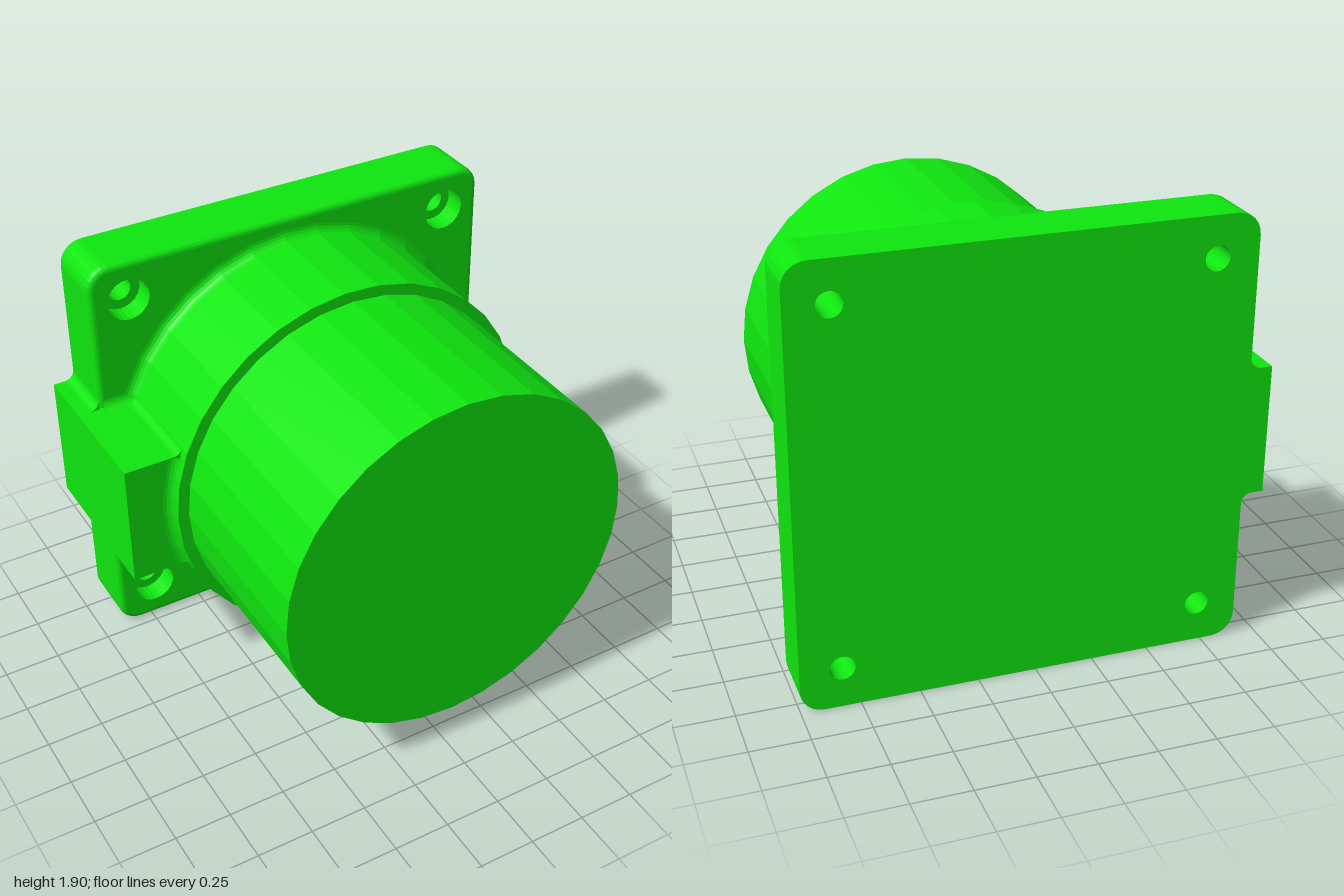
import * as THREE from 'three';

const H = 0.952;                    // flange half size
const BACK = -0.82, FACE = -0.545;  // flange back and front planes
const R = 0.847, STEP = -0.03;      // collar radius and front plane
const BARREL_R = 0.797, FRONT = 0.82;
const F = 0.045;                    // fillet radius
const LUG_X = 1.048, LUG_H = 0.283, LUG_Z = -0.075;
const HOLE = 0.774, HOLE_R = 0.053, BORE_R = 0.095, BORE_Z = FACE - 0.1;

const mat = new THREE.MeshStandardMaterial({ color: 0x0fe60f, flatShading: true, side: THREE.DoubleSide });

function add(parent, name, geometry) {
  const mesh = new THREE.Mesh(geometry, mat);
  mesh.name = name;
  parent.add(mesh);
  return mesh;
}

// Turned part whose axis runs along z; points are (radius, z)
function turned(points, segments, start = 0, length = Math.PI * 2) {
  return new THREE.LatheGeometry(points, segments, start, length).rotateX(Math.PI / 2);
}

// Concave quarter arc from a plane at z up onto the collar wall
function filletProfile(z) {
  return Array.from({ length: 6 }, (_, i) => {
    const t = (i / 5) * Math.PI / 2;
    return new THREE.Vector2(R + F - F * Math.sin(t), z + F - F * Math.cos(t));
  });
}

// Rounded square outline, shrunk by inset
function outline(inset) {
  const pts = [], r = 0.1 - inset, c = H - 0.1;
  for (let q = 0; q < 4; q++) {
    const mid = Math.PI / 4 + q * Math.PI / 2;
    const cx = c * Math.sign(Math.cos(mid)), cy = c * Math.sign(Math.sin(mid));
    for (let i = 0; i <= 6; i++) {
      const a = (q + i / 6) * Math.PI / 2;
      pts.push(new THREE.Vector2(cx + r * Math.cos(a), cy + r * Math.sin(a)));
    }
  }
  return pts;
}

const corners = [[-1, -1], [1, -1], [1, 1], [-1, 1]].map(([x, y]) => [x * HOLE, y * HOLE]);

function holedFace(inset, radius, z) {
  const shape = new THREE.Shape(outline(inset));
  for (const [x, y] of corners) {
    shape.holes.push(new THREE.Path().absarc(x, y, radius, 0, Math.PI * 2, true));
  }
  return new THREE.ShapeGeometry(shape, 12).translate(0, 0, z);
}

// Flange wall lofted through outlines, with a rounded front edge
function flangeWall() {
  const e = 0.028, sections = [[0, BACK]];
  for (let i = 0; i <= 4; i++) {
    const t = (i / 4) * Math.PI / 2;
    sections.push([e * (1 - Math.cos(t)), FACE - e + e * Math.sin(t)]);
  }
  const pos = [], index = [], n = outline(0).length;
  sections.forEach(([inset, z], s) => {
    outline(inset).forEach((p, i) => {
      pos.push(p.x, p.y, z);
      if (s === 0) return;
      const j = (i + 1) % n, a = (s - 1) * n, b = s * n;
      index.push(a + i, a + j, b + j, a + i, b + j, b + i);
    });
  });
  const g = new THREE.BufferGeometry();
  g.setAttribute('position', new THREE.Float32BufferAttribute(pos, 3));
  g.setIndex(index);
  g.computeVertexNormals();
  return g;
}

// Side lug section: straight sides that flare through fillets at fx
function lugBlock(fx, sweep, inner, z0, z1) {
  const s = new THREE.Shape();
  s.moveTo(-LUG_X, -LUG_H);
  s.lineTo(fx, -LUG_H);
  s.absarc(fx, -LUG_H - F, F, Math.PI / 2, sweep, true);
  s.lineTo(inner, -LUG_H);
  s.lineTo(inner, LUG_H);
  s.absarc(fx, LUG_H + F, F, -sweep, -Math.PI / 2, true);
  s.lineTo(-LUG_X, LUG_H);
  s.closePath();
  return new THREE.ExtrudeGeometry(s, { depth: z1 - z0, bevelEnabled: false, curveSegments: 6 }).translate(0, 0, z0);
}

export function createModel() {
  const model = new THREE.Group();
  model.name = 'flangedHousing';
  model.position.set(1 - H, H, 0);

  // Square flange with four counterbored holes
  const flange = new THREE.Group();
  flange.name = 'flange';
  model.add(flange);
  add(flange, 'flangeWall', flangeWall());
  add(flange, 'flangeFront', holedFace(0.028, BORE_R, FACE));
  add(flange, 'flangeBack', holedFace(0, HOLE_R, BACK).scale(1, 1, 1).rotateY(Math.PI).translate(0, 0, 2 * BACK));
  for (const [x, y] of corners) {
    const hole = turned([
      new THREE.Vector2(BORE_R, FACE), new THREE.Vector2(BORE_R, BORE_Z),
      new THREE.Vector2(HOLE_R, BORE_Z), new THREE.Vector2(HOLE_R, BACK),
    ], 24);
    add(flange, 'screwHole', hole).position.set(x, y, 0);
  }

  // Collar with a fillet at the flange, then the narrower barrel
  const v = (r, z) => new THREE.Vector2(r, z);
  add(model, 'collar', turned([...filletProfile(FACE), v(R, STEP), v(0, STEP)], 33, Math.PI * 1.5));
  add(model, 'barrel', turned([v(BARREL_R, STEP), v(BARREL_R, FRONT), v(0, FRONT)], 32));

  // Side lug: one block beside the flange, one running onto the collar
  const lug = new THREE.Group();
  lug.name = 'sideLug';
  model.add(lug);
  const cy = LUG_H + F, cx = Math.sqrt((R + F) ** 2 - cy ** 2);
  add(lug, 'lugBase', lugBlock(-H - F, 0, -H, BACK, FACE));
  add(lug, 'lugBody', lugBlock(-cx, Math.atan2(cy, cx), -0.6, FACE - 0.05, LUG_Z));

  // Fillet between the lug front and the collar, closed at both ends
  const half = Math.asin(LUG_H / (R + F));
  add(lug, 'lugFrontFillet', turned(filletProfile(LUG_Z), 6, Math.PI * 1.5 - half, half * 2));
  for (const side of [-1, 1]) {
    const cap = new THREE.ShapeGeometry(new THREE.Shape([...filletProfile(LUG_Z), v(R - 0.01, LUG_Z)]));
    add(lug, 'filletEnd', cap.rotateX(Math.PI / 2).rotateZ(Math.PI + side * half));
  }

  // Fillets between the lug sides and the flange face
  const strip = new THREE.Shape();
  strip.moveTo(0, 0);
  strip.lineTo(F, 0);
  strip.absarc(F, F, F, -Math.PI / 2, -Math.PI, true);
  strip.closePath();
  const stripGeo = new THREE.ExtrudeGeometry(strip, { depth: 0.16, bevelEnabled: false, curveSegments: 6 });
  stripGeo.applyMatrix4(new THREE.Matrix4().makeBasis(
    new THREE.Vector3(0, 1, 0), new THREE.Vector3(0, 0, 1), new THREE.Vector3(1, 0, 0)));
  stripGeo.translate(-H + 0.02, LUG_H, FACE);
  for (const side of [-1, 1]) add(lug, 'lugSideFillet', stripGeo).scale.y = side;

  const root = new THREE.Group();
  root.add(model);
  return root;
}
